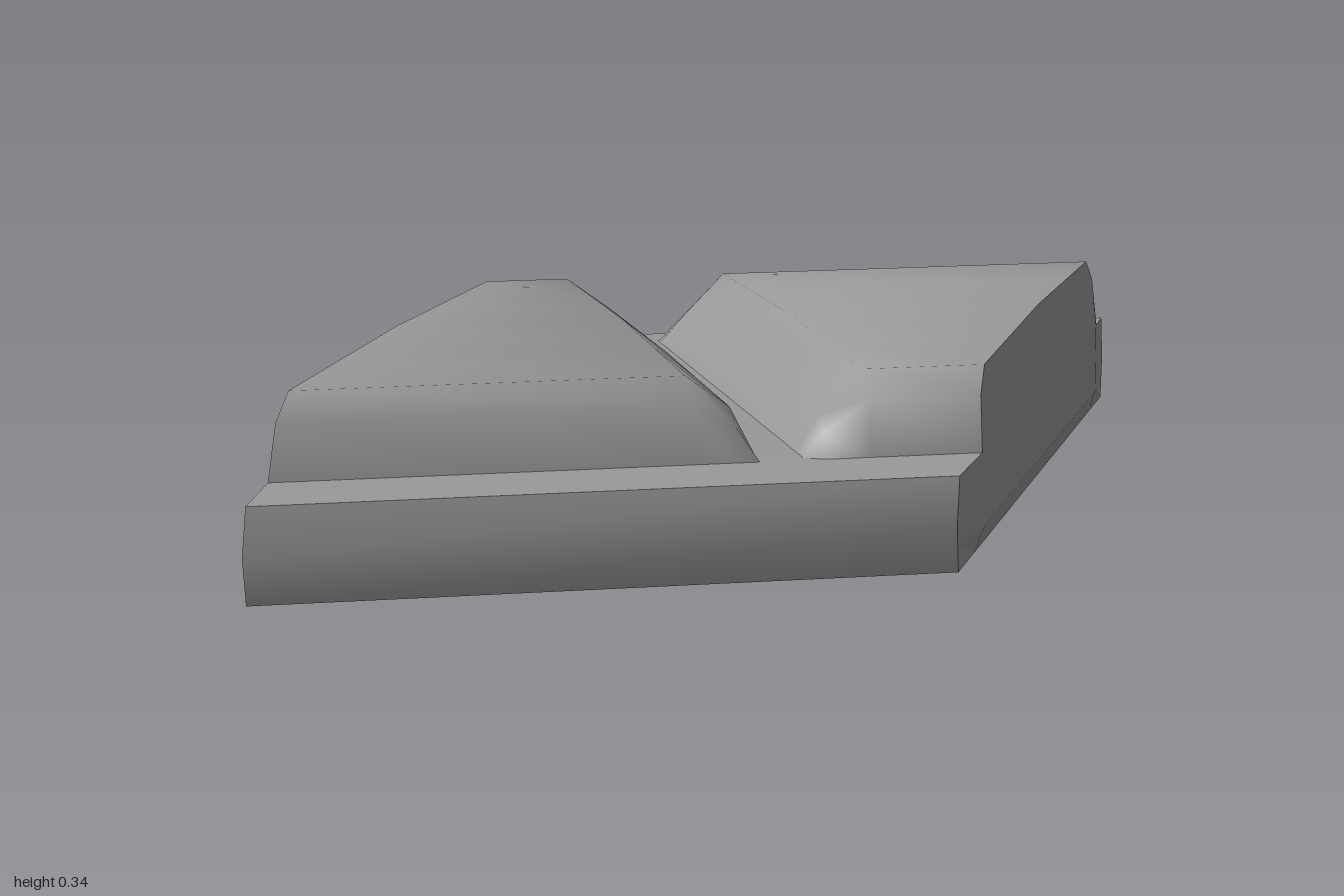
import * as THREE from 'three';
import { toCreasedNormals } from 'three/addons/utils/BufferGeometryUtils.js';

const SHEAR = 0.469, HALF = 0.62, LEDGE = 0.18;

// Half outlines as [z, y], from the front edge to the middle
const ridge = [[0.81, 0.085], [0.79, 0.17], [0.645, LEDGE], [0.625, 0.28], [0.57, 0.325], [0, 0.335]];
const rim = [[0.795, 0], [0.81, 0.085], [0.79, 0.17], [0.645, LEDGE]];

const clamp = THREE.MathUtils.clamp;

// Height of the outline at z
function topY(z) {
  const a = Math.abs(z);
  for (let i = 1; i < ridge.length; i++) {
    const [z0, y0] = ridge[i - 1], [z1, y1] = ridge[i];
    if (a >= z1) return y0 + (y1 - y0) * clamp((z0 - a) / (z0 - z1), 0, 1);
  }
  return 0.335;
}

// Slanted long edge, swelling slightly at mid height
function edgeX(side, z, y) {
  const along = clamp((0.79 - Math.abs(z)) / 0.17, 0, 1);
  const up = Math.min(clamp(y / 0.045, 0, 1), clamp((0.335 - y) / 0.165, 0, 1));
  return side * (HALF + 0.016 * along * up) - SHEAR * z;
}

// Surface through a grid of points
function grid(name, ni, nj, point, crease) {
  const pos = [], index = [];
  for (let i = 0; i < ni; i++) for (let j = 0; j < nj; j++) pos.push(...point(i, j));
  for (let i = 0; i < ni - 1; i++) for (let j = 0; j < nj - 1; j++) {
    const a = i * nj + j, b = a + nj;
    index.push(a, b, b + 1, a, b + 1, a + 1);
  }
  let geo = new THREE.BufferGeometry();
  geo.setAttribute('position', new THREE.Float32BufferAttribute(pos, 3));
  geo.setIndex(index);
  geo = toCreasedNormals(geo, crease);
  const mesh = new THREE.Mesh(geo, new THREE.MeshStandardMaterial({ color: 0x999999 }));
  mesh.name = name;
  return mesh;
}

const mirrored = (half) => [...half.map((z) => -z), 0, ...half.slice().reverse()];

export function createModel() {
  const group = new THREE.Group();
  group.name = 'slantedPanel';

  // Base slab: bulged front and back, flat top and underside
  const loop = [...rim, ...rim.slice().reverse().map(([z, y]) => [-z, y]), rim[0]];
  group.add(grid('baseSlab', 2, loop.length, (i, j) => {
    const [z, y] = loop[j];
    return [edgeX(i ? 1 : -1, z, y), y, z];
  }, 0.5));

  const wallZ = mirrored([0.81, 0.795, 0.79, 0.645, 0.625, 0.57, 0.3]);
  const rows = [0, 0.045, 0.085, 0.17, 0.25, 0.335];
  const padZ = mirrored([0.645, 0.625, 0.57, 0.3]);

  for (const side of [-1, 1]) {
    const label = side > 0 ? 'left' : 'right';

    // Side wall, running from the underside up to the pad edge
    group.add(grid(label + 'SideWall', rows.length, wallZ.length, (i, j) => {
      const z = side * wallZ[j];
      const y = clamp(rows[i], Math.abs(z) > 0.8 ? 0.085 : 0, topY(z));
      return [edgeX(side, z, y), y, z];
    }, 0.25));

    // Raised pad, rounded towards the groove and at both ends
    const inner = side > 0 ? 0.01 : -0.073;
    const bevel = [[0, 0], [0.038, side > 0 ? 0.44 : 0.6], [0.118, 1]];
    group.add(grid(label + 'Pad', padZ.length, bevel.length + 1, (i, j) => {
      const z = side * padZ[i];
      const [d, f] = bevel[Math.min(j, bevel.length - 1)];
      const y = LEDGE + (topY(z) - LEDGE) * f;
      return [j < bevel.length ? inner + side * d : edgeX(side, z, y), y, z];
    }, 3));
  }
  return group;
}
